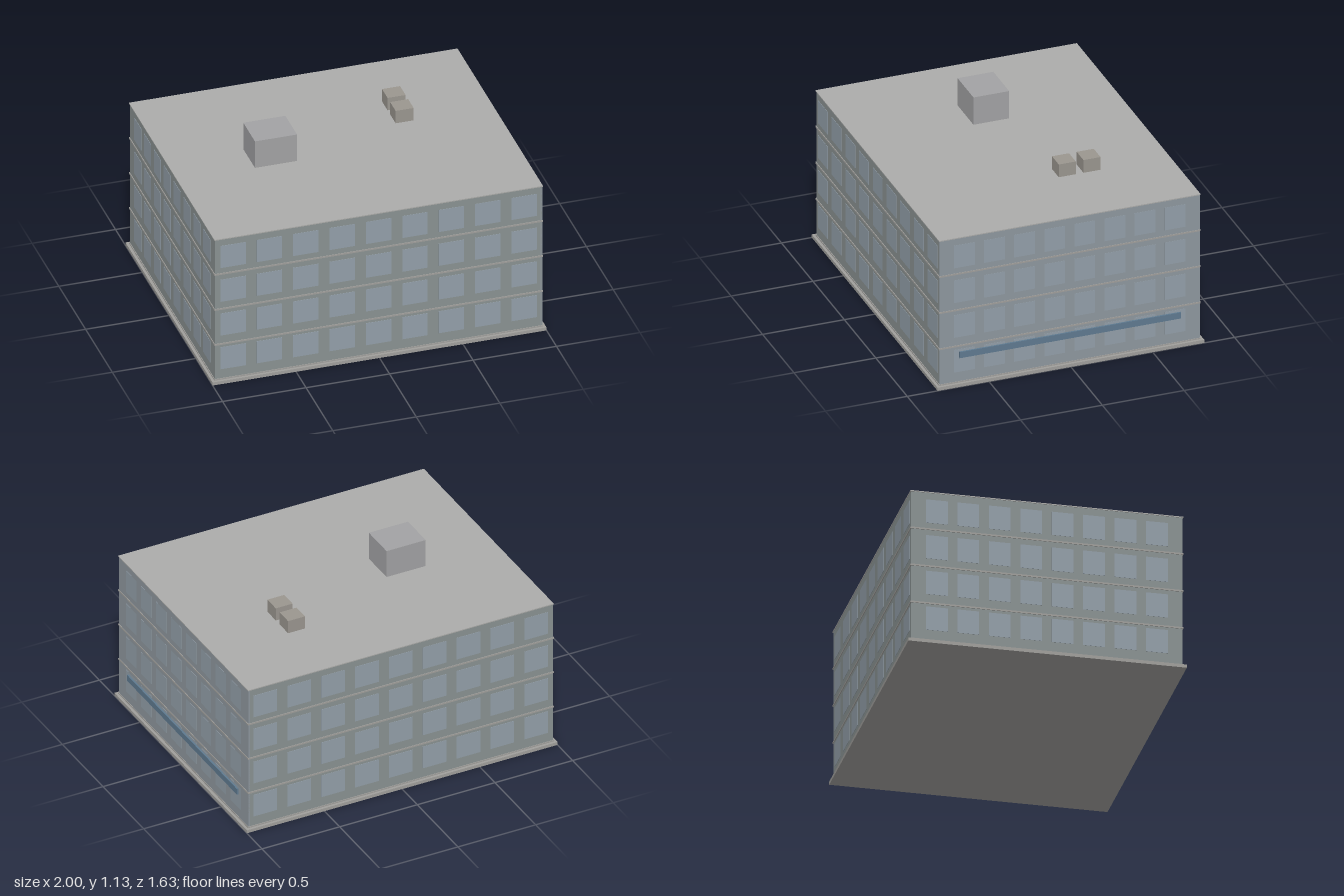
import * as THREE from 'three';

const W = 0.98, D = 0.795, BASE = 0.02, ROOF = 0.95, FLOORS = 4;

const mat = (color) => new THREE.MeshStandardMaterial({ color });
const wallMat = mat(0x8a9292), glassMat = mat(0x939fa9), sideMat = mat(0x8e979e);
const trimMat = mat(0xa09f9c), roofMat = mat(0xacacaa), boxMat = mat(0xa2a2a4);
const unitMat = mat(0x9a968f), signMat = mat(0x5f7a90);

// Box given by its minimum and maximum corners
function box(parent, name, material, [x0, y0, z0], [x1, y1, z1]) {
  const mesh = new THREE.Mesh(new THREE.BoxGeometry(x1 - x0, y1 - y0, z1 - z0), material);
  mesh.position.set((x0 + x1) / 2, (y0 + y1) / 2, (z0 + z1) / 2);
  mesh.name = name;
  parent.add(mesh);
  return mesh;
}

// Grid of thin panes on one facade, turned to face outwards
function windowGrid(name, count, pitch, width, distance, angle) {
  const group = new THREE.Group();
  group.name = name;
  for (let row = 0; row < FLOORS; row++) {
    for (let col = 0; col < count; col++) {
      const x = (col - (count - 1) / 2) * pitch;
      const y = 0.161 + row * 0.2245;
      box(group, 'window', glassMat,
        [x - width / 2, y - 0.073, distance - 0.002], [x + width / 2, y + 0.073, distance + 0.002]);
    }
  }
  group.rotation.y = angle;
  return group;
}

export function createModel() {
  const building = new THREE.Group();
  building.name = 'officeBuilding';

  // Ground plinth and main block
  box(building, 'plinth', trimMat, [-1, 0, -0.815], [1, BASE, 0.815]);
  box(building, 'walls', wallMat, [-W, BASE, -D], [W, ROOF, D]);
  box(building, 'glazedSideWall', sideMat, [W - 0.01, BASE, -D], [W + 0.001, ROOF, D]);

  // Windows on all four facades
  building.add(
    windowGrid('frontWindows', 9, 0.218, 0.152, D, 0),
    windowGrid('backWindows', 9, 0.218, 0.152, D, Math.PI),
    windowGrid('leftWindows', 8, 0.184, 0.127, W, Math.PI / 2),
    windowGrid('rightWindows', 8, 0.184, 0.127, W, -Math.PI / 2),
  );

  // Thin bands between floors
  for (let i = 0; i < FLOORS; i++) {
    const y = 0.023 + i * 0.233;
    box(building, 'floorBand', trimMat, [-W - 0.004, y - 0.005, -D - 0.004], [W + 0.004, y + 0.005, D + 0.004]);
  }

  // Roof slab and rooftop equipment
  box(building, 'roofSlab', roofMat, [-W - 0.004, ROOF, -D - 0.004], [W + 0.004, 0.956, D + 0.004]);
  box(building, 'stairHouse', boxMat, [-0.52, 0.956, -0.11], [-0.268, 1.132, 0.108]);
  for (const z of [-0.372, -0.221]) {
    box(building, 'coolingUnit', unitMat, [0.395, 0.956, z], [0.503, 1.038, z + 0.104]);
  }

  // Long horizontal strip on the side facade
  box(building, 'sideStrip', signMat, [W, 0.18, -0.676], [0.992, 0.219, 0.676]);
  return building;
}
